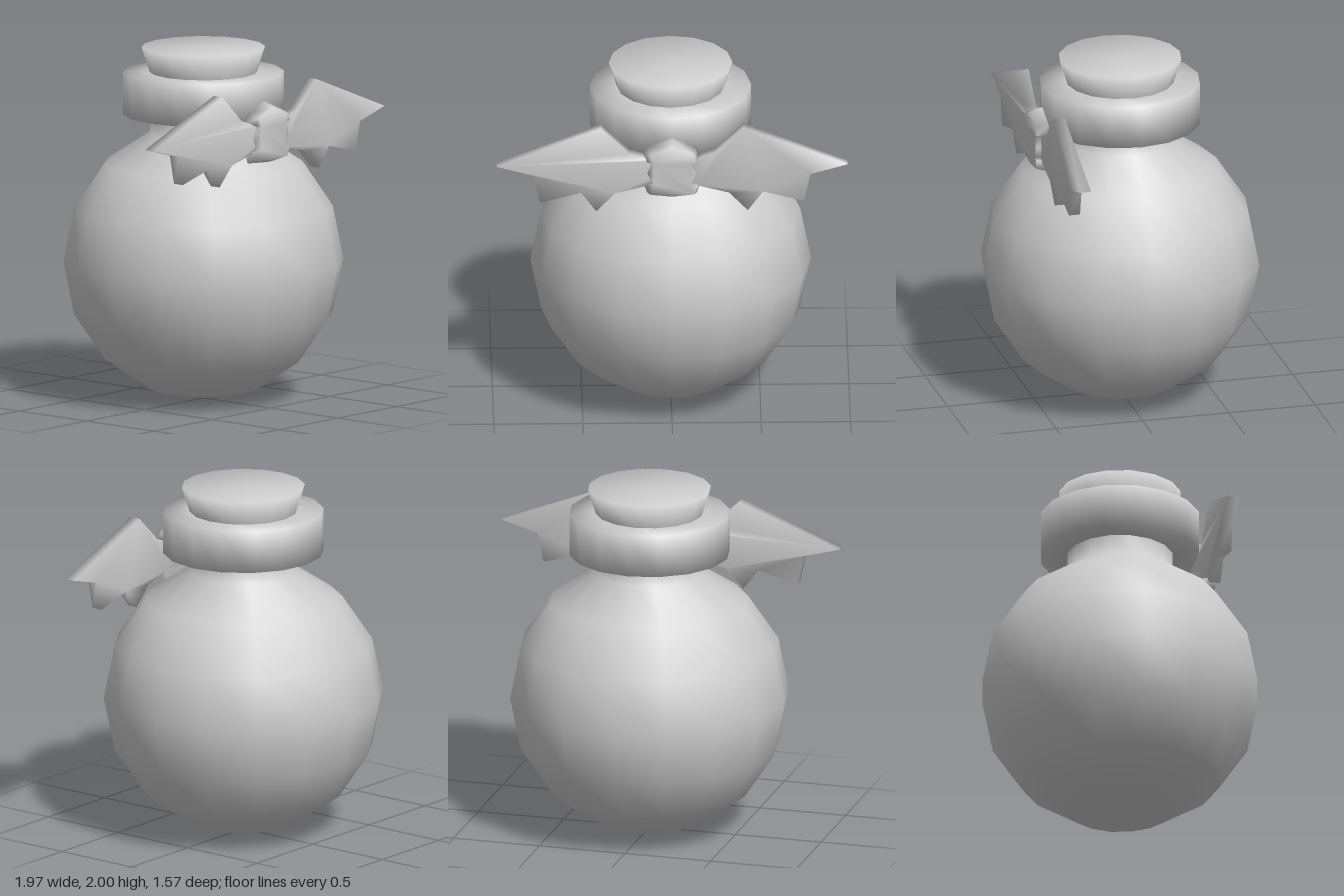
import * as THREE from 'three';
import { mergeVertices } from 'three/addons/utils/BufferGeometryUtils.js';

const SIDES = 16;

export function createModel() {
  const group = new THREE.Group();
  const material = new THREE.MeshStandardMaterial({ color: 0xcccccc, side: THREE.DoubleSide });

  const add = (name, geometry) => {
    const mesh = new THREE.Mesh(geometry, material);
    mesh.name = name;
    group.add(mesh);
  };
  const turned = (name, profile) =>
    add(name, new THREE.LatheGeometry(profile.map(([r, y]) => new THREE.Vector2(r, y)), SIDES));

  // Outline symmetric about x = 0, given as its +x half from top to bottom
  const mirrored = (half) => {
    const other = half.filter(([x]) => x > 0).reverse().map(([x, y]) => [-x, y]);
    return new THREE.Shape([...half, ...other].map(([x, y]) => new THREE.Vector2(x, y)));
  };
  // Plate between two depths; its front is scaled about the given height, then smoothed
  const plate = (half, back, front, scale = 1, midY = 0) => {
    let geo = new THREE.ExtrudeGeometry(mirrored(half), { depth: front - back, bevelEnabled: false });
    const p = geo.attributes.position;
    for (let i = 0; i < p.count; i++) {
      const s = p.getZ(i) > 0.001 ? scale : 1;
      p.setXYZ(i, p.getX(i) * s, midY + (p.getY(i) - midY) * s, p.getZ(i) + back);
    }
    geo.deleteAttribute('normal');
    geo.deleteAttribute('uv');
    geo = mergeVertices(geo);
    geo.computeVertexNormals();
    return geo;
  };

  // Round flask body: a coarse sphere opening into a straight neck
  const R = 0.787;
  const body = [];
  for (let i = 0; i < 8; i++) {
    const a = (i * Math.PI) / 8;
    body.push([R * Math.sin(a), R - R * Math.cos(a)]);
  }
  turned('flaskBody', [...body, [0.3, 1.63]]);

  // Thick lip around the neck
  turned('collar', [[0.28, 1.62], [0.452, 1.62], [0.452, 1.86], [0.28, 1.86]]);

  // Tapered plug with a flat top
  turned('stopper', [[0.3, 1.85], [0.347, 2], [0, 2]]);

  // Bat-wing ribbon, one plate running behind the knot
  add('wingBow', plate([
    [0.125, 1.625], [0.24, 1.665], [0.4, 1.82], [0.985, 1.59], [0.775, 1.53],
    [0.74, 1.365], [0.51, 1.425], [0.425, 1.31], [0.32, 1.42], [0.125, 1.47],
  ], 0.425, 0.49));

  // Knot with notched sides and a sloped rim
  add('bowKnot', plate([
    [0, 1.74], [0.14, 1.685], [0.16, 1.635], [0.12, 1.62], [0.15, 1.545],
    [0.12, 1.475], [0.16, 1.465], [0.14, 1.405], [0, 1.39],
  ], 0.45, 0.52, 0.87, 1.55));

  return group;
}
